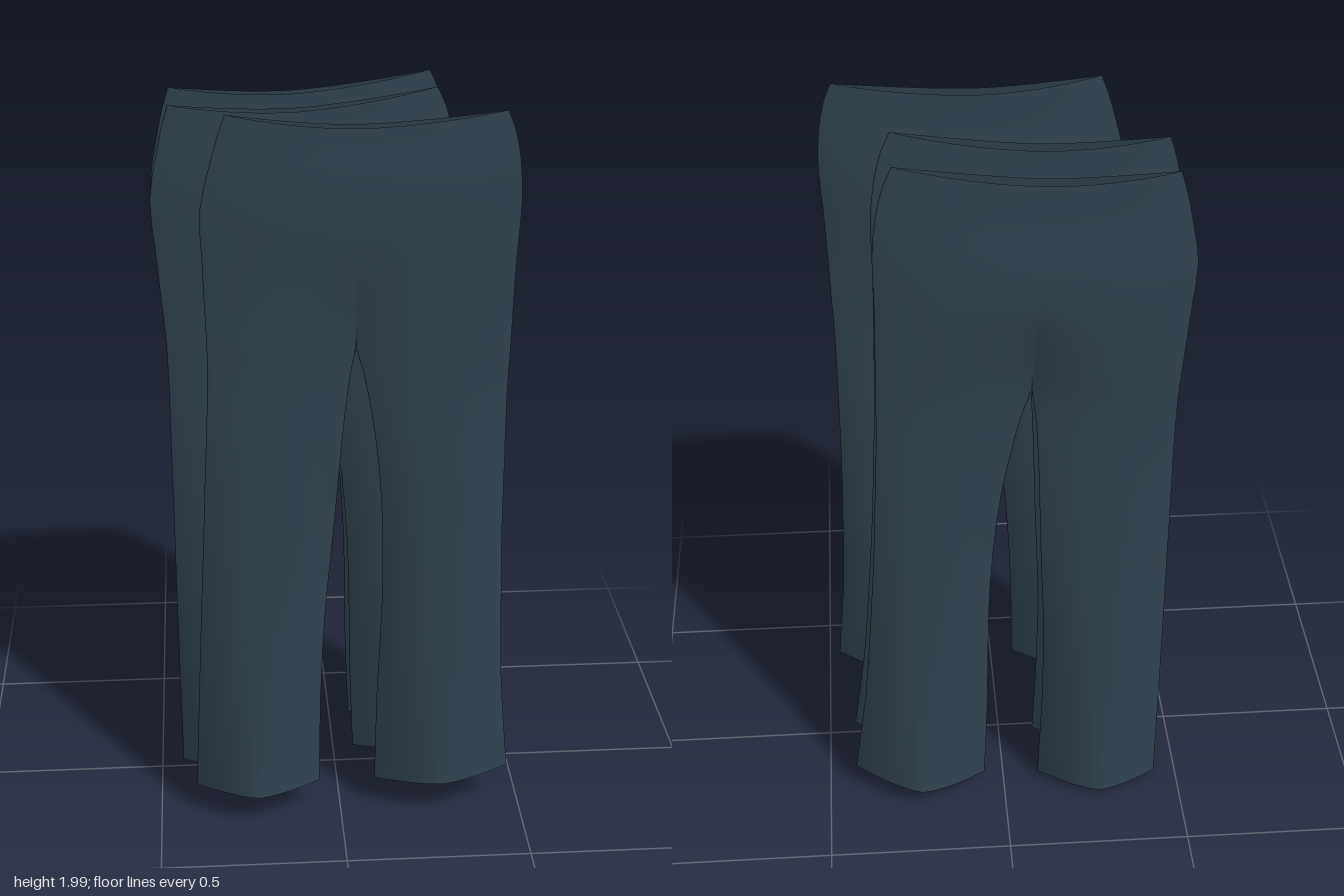
import * as THREE from 'three';
import { mergeVertices } from 'three/addons/utils/BufferGeometryUtils.js';

const CROTCH = 1.39, SEAM = 0.038;

// height, outer right edge, inner right edge, inner left edge, outer left edge, front depth, back depth
const rows = [
  [0.10, -0.400, -0.058, 0.095, 0.467, 0.088, 0.100],
  [0.38, -0.387, -0.054, 0.100, 0.444, 0.066, 0.070],
  [0.65, -0.374, -0.040, 0.111, 0.435, 0.053, 0.053],
  [0.86, -0.363, -0.020, 0.111, 0.430, 0.045, 0.042],
  [1.05, -0.354, -0.004, 0.100, 0.430, 0.038, 0.034],
  [1.24, -0.344, 0.014, 0.074, 0.430, 0.028, 0.026],
  [1.34, -0.341, 0.028, 0.053, 0.433, 0.025, 0.026],
  [CROTCH, -0.341, SEAM, SEAM, 0.435, 0.025, 0.028],
  [1.50, -0.344, SEAM, SEAM, 0.438, 0.027, 0.038],
  [1.64, -0.348, SEAM, SEAM, 0.443, 0.034, 0.049],
  [1.76, -0.350, SEAM, SEAM, 0.450, 0.039, 0.044],
  [1.87, -0.325, SEAM, SEAM, 0.444, 0.034, 0.030],
  [1.95, -0.302, SEAM, SEAM, 0.428, 0.025, 0.024],
  [2.00, -0.284, SEAM, SEAM, 0.408, 0.021, 0.021],
];

function makeTrousersGeometry() {
  const curve = new THREE.CubicInterpolant(
    rows.map(r => r[0]), rows.flatMap(r => r.slice(1)), 6, new Float32Array(6));
  // two steps between key rows, so the crotch stays an exact row
  const heights = [];
  rows.forEach((r, i) => {
    if (i) heights.push((rows[i - 1][0] + r[0]) / 2);
    heights.push(r[0]);
  });
  const COLS = 16, positions = [], index = [];

  for (const side of [-1, 1]) {        // right and left half
    for (const face of [1, -1]) {      // front and back sheet
      const start = positions.length / 3;
      for (const y of heights) {
        const [oR, iR, iL, oL, front, back] = curve.evaluate(y);
        const outer = side < 0 ? oR : oL;
        const inner = y >= CROTCH ? SEAM : side < 0 ? iR : iL;
        // the leg tube opens into one body above the crotch
        const open = Math.pow(THREE.MathUtils.smoothstep(y, CROTCH, 1.68), 0.6);
        const hem = 1 - THREE.MathUtils.smoothstep(y, 0.1, 0.6);
        const waist = THREE.MathUtils.smoothstep(y, 1.65, 2.0);
        const lean = -0.008 * side * hem * face * -1;
        for (let k = 0; k <= COLS; k++) {
          const t = (1 - Math.cos(Math.PI * k / COLS)) / 2;
          const u = side < 0 ? t : 1 - t;              // 0 outer edge, 1 inner edge
          const lens = Math.max(0, 1 - Math.pow(Math.abs(2 * u - 1), 1.4 + 0.5 * (1 - hem)));
          const body = 1 - Math.pow(1 - u, 2.5);
          const depth = ((face > 0 ? front : back) - lean * face * face)
            * THREE.MathUtils.lerp(lens, body, open);
          const tilt = side > 0 ? 0.027 * (1 - u) * hem : 0;
          const dip = 0.034 * waist * (1 - Math.pow(1 - u, 1.7));
          positions.push(
            THREE.MathUtils.lerp(outer, inner, u),
            y + tilt - dip + 0.008 * hem * lens,
            face * depth);
        }
      }
      const w = COLS + 1;
      for (let j = 0; j < heights.length - 1; j++) {
        for (let k = 0; k < COLS; k++) {
          const a = start + j * w + k, b = a + 1, c = b + w, d = a + w;
          if (face > 0) index.push(a, b, c, a, c, d);
          else index.push(a, c, b, a, d, c);
        }
      }
    }
  }
  let geometry = new THREE.BufferGeometry();
  geometry.setAttribute('position', new THREE.Float32BufferAttribute(positions, 3));
  geometry.setIndex(index);
  geometry = mergeVertices(geometry, 1e-5);   // joins side edges and the centre seam
  geometry.computeVertexNormals();
  return geometry;
}

export function createModel() {
  const model = new THREE.Group();
  model.name = 'trousersRow';
  const cloth = new THREE.MeshStandardMaterial({ color: 0x30424e, side: THREE.DoubleSide });
  cloth.name = 'dark slate cloth';
  const geometry = makeTrousersGeometry();

  // the front pair hangs straight, the two behind are slightly turned
  const pairs = [
    ['frontTrousers', 0, 0, 0.235, 0, 1],
    ['middleTrousers', -0.035, -0.07, -0.037, 0.052, 1.022],
    ['rearTrousers', -0.035, -0.07, -0.223, 0.052, 1.022],
  ];
  for (const [name, x, y, z, turn, stretch] of pairs) {
    const mesh = new THREE.Mesh(geometry, cloth);
    mesh.name = name;
    mesh.position.set(x, y, z);
    mesh.rotation.z = turn;
    mesh.scale.y = stretch;
    model.add(mesh);
  }
  return model;
}
